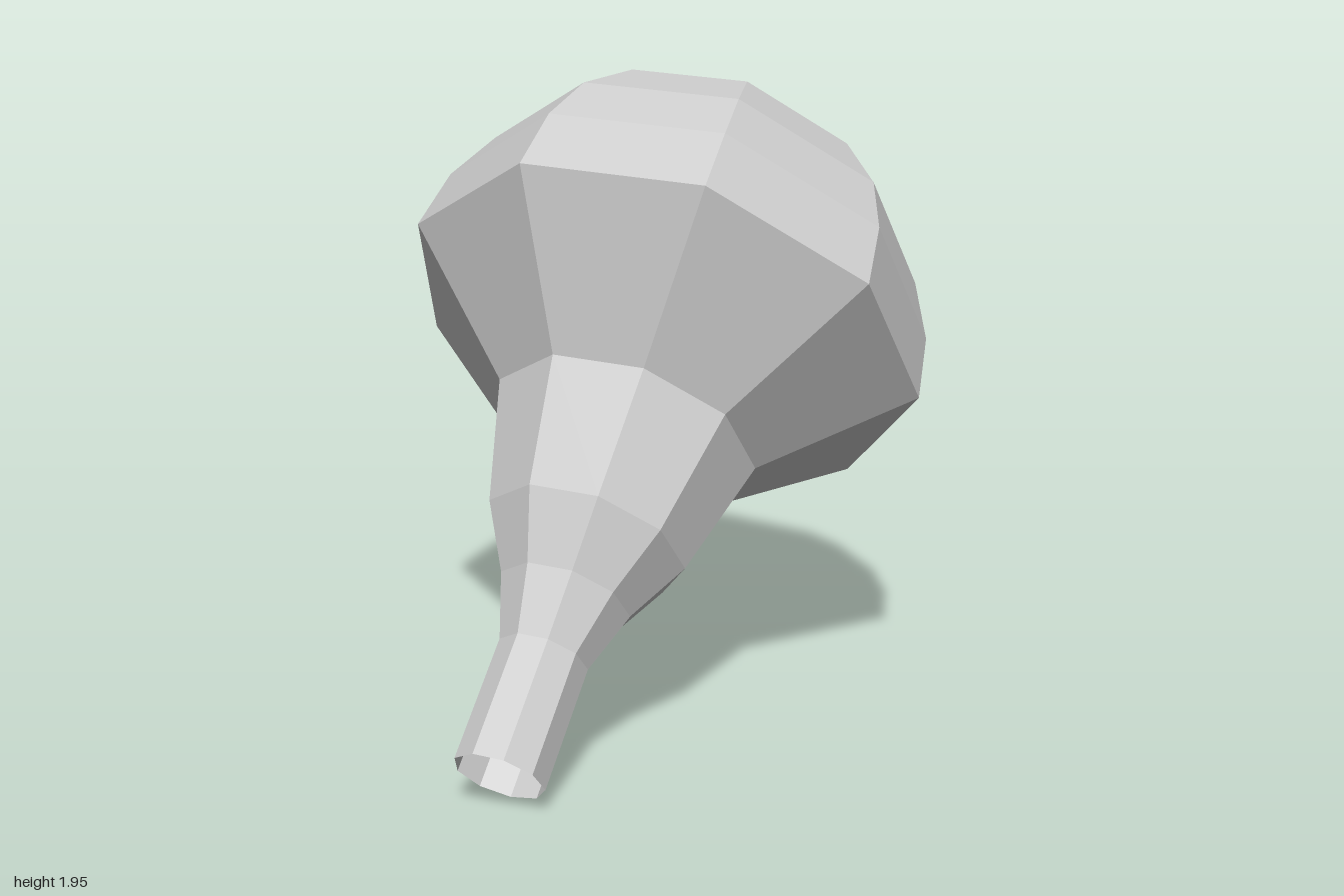
import * as THREE from 'three';

const SIDES = 9;
const RADIUS = 0.823;

// nine-sided faceted surface of revolution about local y
function facetedLathe(name, profile) {
  const points = profile.map(([r, y]) => new THREE.Vector2(r, y));
  const material = new THREE.MeshStandardMaterial({
    color: 0xcccccc, flatShading: true, side: THREE.DoubleSide,
  });
  const mesh = new THREE.Mesh(new THREE.LatheGeometry(points, SIDES), material);
  mesh.name = name;
  return mesh;
}

export function createModel() {
  const group = new THREE.Group();
  const bulb = new THREE.Group();
  bulb.name = 'bulb';

  // hollow neck, open at its end and flaring out to the rim
  bulb.add(facetedLathe('neck', [
    [0.135, -1.527], [0.135, -1.149], [0.2, -0.956],
    [0.307, -0.762], [0.412, -0.38], [RADIUS, 0],
  ]));

  // spherical dome closing the wide end
  const latitudes = [0, 15.2, 30, 48.5, 61, 90];
  bulb.add(facetedLathe('dome', latitudes.map((deg) => {
    const a = THREE.MathUtils.degToRad(deg);
    return [deg === 90 ? 0 : RADIUS * Math.cos(a), RADIUS * Math.sin(a)];
  })));

  // lean back with the neck pointing down and forward
  const axis = new THREE.Vector3(0.139, 0.683, -0.717).normalize();
  const lowCorner = new THREE.Vector3(0.033, -0.729, -0.682);
  const side = new THREE.Vector3().crossVectors(axis, lowCorner).normalize();
  const low = new THREE.Vector3().crossVectors(side, axis);
  bulb.quaternion.setFromRotationMatrix(new THREE.Matrix4().makeBasis(side, axis, low));
  bulb.position.set(-0.004, 1.146, -0.182);

  group.add(bulb);
  return group;
}
